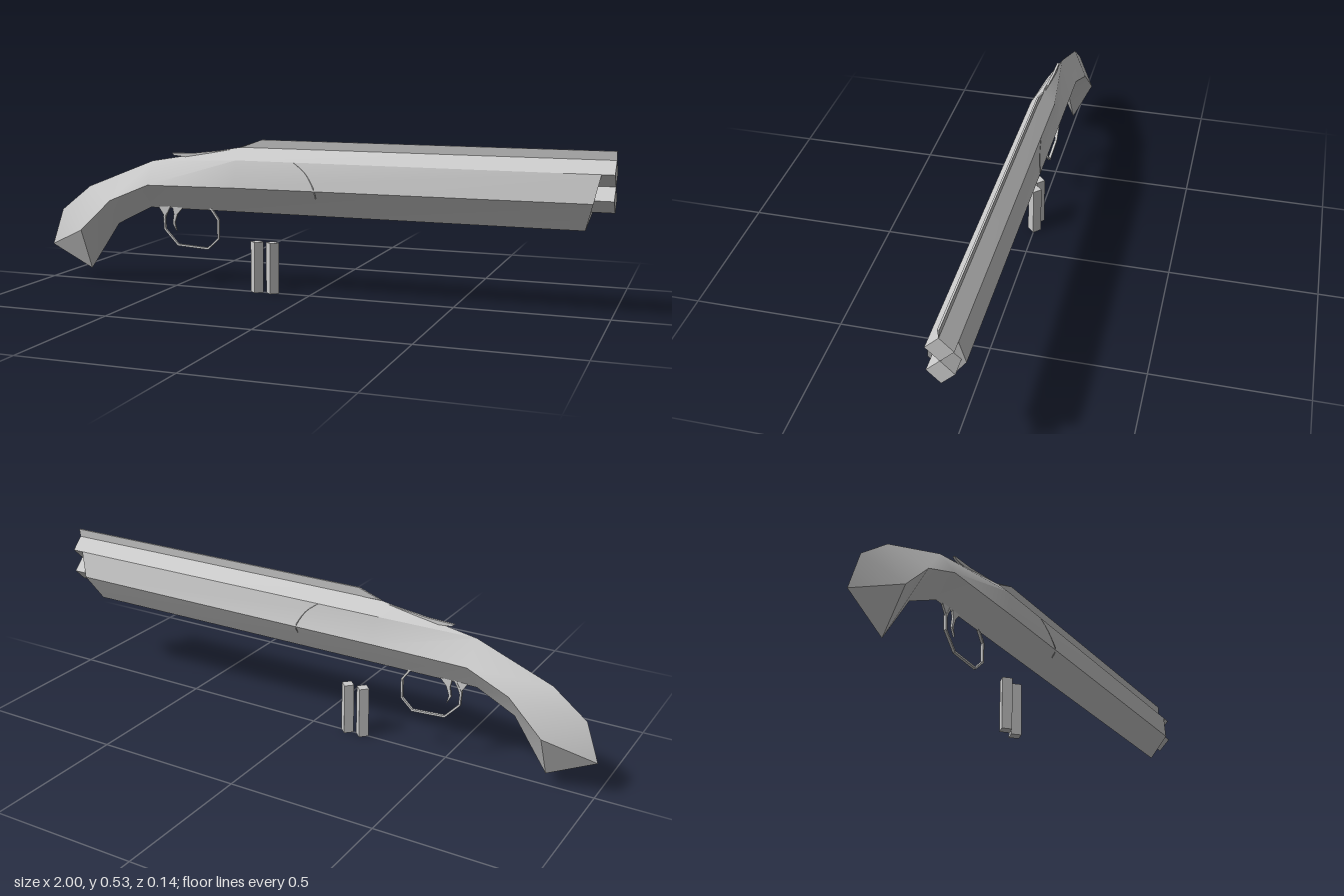
import * as THREE from 'three';
import { toCreasedNormals } from 'three/addons/utils/BufferGeometryUtils.js';

const grey = new THREE.MeshStandardMaterial({ color: 0xcccccc, flatShading: true, side: THREE.DoubleSide });
const smoothGrey = new THREE.MeshStandardMaterial({ color: 0xcccccc, side: THREE.DoubleSide });

// Skin closed rings running along +x; capStart and capEnd are the fan centres of the ends.
function loft(rings, capStart, capEnd) {
  const pos = [];
  const v = (p) => new THREE.Vector3(...p);
  const tri = (a, b, c) => {
    const area = v(b).sub(v(a)).cross(v(c).sub(v(a))).length();
    if (area > 1e-8) pos.push(...a, ...b, ...c);
  };
  const n = rings[0].length;
  for (let j = 0; j < n; j++) {
    const k = (j + 1) % n;
    for (let i = 0; i < rings.length - 1; i++) {
      const p = rings[i], q = rings[i + 1];
      tri(p[j], p[k], q[j]);
      tri(p[k], q[k], q[j]);
    }
    tri(capStart, rings[0][k], rings[0][j]);
    const last = rings[rings.length - 1];
    tri(capEnd, last[j], last[k]);
  }
  const geo = new THREE.BufferGeometry();
  geo.setAttribute('position', new THREE.Float32BufferAttribute(pos, 3));
  geo.computeVertexNormals();
  return geo;
}

// Six-sided symmetric section: top ridge, shoulder, side ridge, bottom ridge
const section = ([tx, ty], [hx, hy, hz], [sx, sy, sz], [bx, by]) => [
  [tx, ty, 0], [hx, hy, hz], [sx, sy, sz], [bx, by, 0], [sx, sy, -sz], [hx, hy, -hz],
];

// Band of constant thickness that follows a path in the side plane
function band(points, thickness, depth) {
  const pts = points.map(([x, y]) => new THREE.Vector2(x, y));
  const outer = [], inner = [];
  pts.forEach((p, i) => {
    const a = pts[Math.max(i - 1, 0)], b = pts[Math.min(i + 1, pts.length - 1)];
    const d = b.clone().sub(a).normalize().multiplyScalar(thickness / 2);
    outer.push(new THREE.Vector2(p.x - d.y, p.y + d.x));
    inner.unshift(new THREE.Vector2(p.x + d.y, p.y - d.x));
  });
  return plate([...outer, ...inner].map((p) => [p.x, p.y]), depth);
}

// Flat outline given a depth centred on z = 0
function plate(points, depth) {
  const shape = new THREE.Shape(points.map(([x, y]) => new THREE.Vector2(x, y)));
  return new THREE.ExtrudeGeometry(shape, { depth, bevelEnabled: false }).translate(0, 0, -depth / 2);
}

export function createModel() {
  const group = new THREE.Group();
  const add = (name, geo, material = grey) => {
    const mesh = new THREE.Mesh(geo, material);
    mesh.name = name;
    group.add(mesh);
    return mesh;
  };

  // Grip, receiver and fore-end as one tapering body
  const body = loft([
    section([-1, 0.12], [-1, 0.12, 0], [-0.84, 0.19, 0.071], [-0.84, 0.04]),
    section([-0.955, 0.25], [-0.955, 0.25, 0], [-0.84, 0.19, 0.071], [-0.84, 0.04]),
    section([-0.84, 0.34], [-0.84, 0.34, 0], [-0.725, 0.3, 0.063], [-0.725, 0.21]),
    section([-0.585, 0.44], [-0.585, 0.44, 0], [-0.58, 0.36, 0.055], [-0.595, 0.275]),
    section([-0.25, 0.498], [-0.25, 0.457, 0.041], [-0.25, 0.364, 0.056], [-0.25, 0.275]),
    section([0.965, 0.498], [0.96, 0.457, 0.041], [0.94, 0.367, 0.055], [0.912, 0.275]),
  ], [-0.92, 0.08, 0], [0.94, 0.4, 0]);
  add('stockAndBody', toCreasedNormals(body, 0.5), smoothGrey);

  // Two square barrels set on edge, one above the other
  for (const [name, y] of [['upperBarrel', 0.457], ['lowerBarrel', 0.376]]) {
    const barrel = new THREE.CylinderGeometry(0.041, 0.041, 0.12, 4).rotateZ(-Math.PI / 2);
    add(name, barrel.translate(0.94, y, 0));
  }

  // Sighting rib, wedge-shaped in section
  const ribEnd = (x, top) => [[x, top, -0.003], [x, top, 0.003], [x, 0.496, 0]];
  add('sightingRib', loft([ribEnd(-0.25, 0.499), ribEnd(-0.17, 0.526), ribEnd(1, 0.526)],
    [-0.25, 0.498, 0], [1, 0.515, 0]));

  // Opening lever on top of the receiver
  add('openingLever', plate([[-0.51, 0.47], [-0.5, 0.462], [-0.45, 0.458], [-0.28, 0.49], [-0.42, 0.473]], 0.008));

  // Hinge seam on both flanks
  for (const side of [1, -1]) {
    const path = new THREE.CatmullRomCurve3([
      [-0.04, 0.456, 0.04], [0, 0.425, 0.045], [0.028, 0.385, 0.052], [0.037, 0.365, 0.055], [0.037, 0.34, 0.04],
    ].map(([x, y, z]) => new THREE.Vector3(x, y, z * side)));
    add('hingeSeam', new THREE.TubeGeometry(path, 8, 0.0018, 4));
  }

  // Trigger guard and the two triggers inside it
  add('triggerGuard', band([[-0.52, 0.285], [-0.543, 0.245], [-0.54, 0.2], [-0.49, 0.147], [-0.375, 0.14],
    [-0.335, 0.177], [-0.335, 0.243], [-0.365, 0.285]], 0.007, 0.009));
  add('rearTrigger', plate([[-0.565, 0.28], [-0.52, 0.28], [-0.532, 0.255], [-0.54, 0.235], [-0.545, 0.25]], 0.007));
  add('frontTrigger', plate([[-0.51, 0.28], [-0.47, 0.28], [-0.492, 0.255], [-0.502, 0.225], [-0.495, 0.195],
    [-0.51, 0.222], [-0.505, 0.255]], 0.007));

  // Two loose cartridges standing on the ground
  for (const x of [-0.191, -0.134]) {
    add('cartridge', new THREE.CylinderGeometry(0.0235, 0.0235, 0.176, 4).translate(x, 0.088, 0));
  }
  return group;
}
